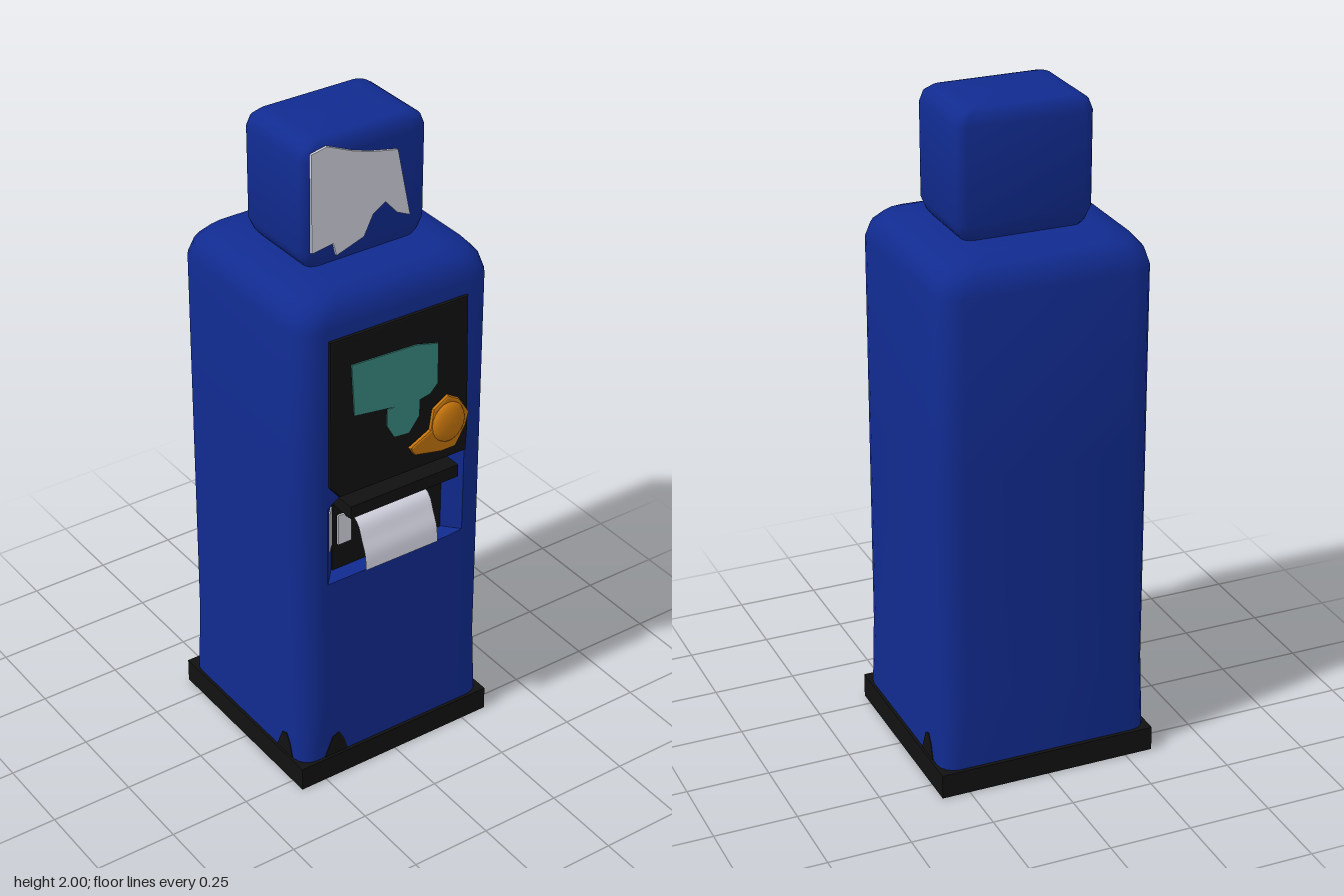
import * as THREE from 'three';
import { toCreasedNormals } from 'three/addons/utils/BufferGeometryUtils.js';

const mat = (name, color, double) => {
  const m = new THREE.MeshStandardMaterial({ color });
  m.name = name;
  if (double) m.side = THREE.DoubleSide;
  return m;
};

// Rounded rectangular footprint; notch presses a tray shape into the front edge
function footprint({ y, hx, z0, z1, r, notch = 0 }) {
  const pts = [[-0.19, z1 - notch], [0.19, z1 - notch], [0.235, z1]];
  if (hx - r < 0.24) pts.forEach((p, i) => { p[0] = (hx - r) * [-0.6, 0.6, 0.9][i]; });
  const first = [-pts[2][0], z1];
  const corners = [[hx - r, z1 - r], [hx - r, z0 + r], [-hx + r, z0 + r], [-hx + r, z1 - r]];
  corners.forEach(([cx, cz], k) => {
    for (let i = 0; i <= 4; i++) {
      const a = (k + i / 4) * Math.PI / 2;
      pts.push([cx + r * Math.sin(a), cz + r * Math.cos(a)]);
    }
  });
  pts.push(first);
  return pts.map(([x, z]) => [x, y, z]);
}

// Skin stacked footprints, closed at both ends
function loft(sections) {
  const rings = sections.map(footprint), n = rings[0].length, pos = [];
  const tri = (...v) => v.forEach((p) => pos.push(...p));
  for (let k = 0; k < rings.length - 1; k++) {
    for (let i = 0; i < n; i++) {
      const j = (i + 1) % n, a = rings[k], b = rings[k + 1];
      tri(a[i], a[j], b[j]);
      tri(a[i], b[j], b[i]);
    }
  }
  const low = rings[0], top = rings[rings.length - 1];
  const mid = (s) => [0, s.y, (s.z0 + s.z1) / 2];
  for (let i = 0; i < n; i++) {
    const j = (i + 1) % n;
    tri(low[j], low[i], mid(sections[0]));
    tri(top[i], top[j], mid(sections[sections.length - 1]));
  }
  const g = new THREE.BufferGeometry();
  g.setAttribute('position', new THREE.Float32BufferAttribute(pos, 3));
  return toCreasedNormals(g, 0.7);
}

// Plate cut from an outline, thickness along +z
function plate(points, depth, bevel = 0) {
  const shape = new THREE.Shape(points.map(([x, y]) => new THREE.Vector2(x, y)));
  return new THREE.ExtrudeGeometry(shape, {
    depth, bevelEnabled: bevel > 0, bevelSize: bevel, bevelOffset: -bevel, bevelThickness: bevel, bevelSegments: 2,
  });
}

export function createModel() {
  const group = new THREE.Group();
  const blue = mat('blue paint', 0x112b90);
  const black = mat('black plastic', 0x111111);
  const teal = mat('teal screen', 0x3a8a80);
  const orange = mat('orange', 0xc4740c);
  const white = mat('white paper', 0xd4d4e2, true);
  const add = (name, geometry, material, x = 0, y = 0, z = 0) => {
    const m = new THREE.Mesh(geometry, material);
    m.name = name;
    m.position.set(x, y, z);
    group.add(m);
    return m;
  };
  const box = (w, h, d) => new THREE.BoxGeometry(w, h, d);

  // Plinth
  add('base', box(0.67, 0.075, 0.63), black, 0, 0.0375, -0.015);

  // Cabinet with the paper tray pressed into its front
  const wall = { hx: 0.326, z0: -0.318, z1: 0.29, r: 0.075 };
  add('cabinet', loft([
    { ...wall, y: 0.06, r: 0.05 },
    { ...wall, y: 0.3 },
    { ...wall, y: 0.7 },
    { ...wall, y: 0.705, notch: 0.05 },
    { ...wall, y: 0.96, notch: 0.05 },
    { ...wall, y: 0.99 },
    { ...wall, y: 1.53 },
    { y: 1.575, hx: 0.316, z0: -0.307, z1: 0.28, r: 0.085 },
    { y: 1.603, hx: 0.293, z0: -0.283, z1: 0.256, r: 0.09 },
    { y: 1.62, hx: 0.245, z0: -0.235, z1: 0.21, r: 0.09 },
    { y: 1.625, hx: 0.19, z0: -0.15, z1: 0.12, r: 0.04 },
  ]), blue);

  // Head block
  add('head', loft([
    { y: 1.615, hx: 0.17, z0: -0.14, z1: 0.115, r: 0.03 },
    { y: 1.64, hx: 0.19, z0: -0.152, z1: 0.126, r: 0.03 },
    { y: 1.675, hx: 0.204, z0: -0.158, z1: 0.131, r: 0.03 },
    { y: 1.95, hx: 0.205, z0: -0.158, z1: 0.131, r: 0.03 },
    { y: 1.98, hx: 0.195, z0: -0.152, z1: 0.126, r: 0.03 },
    { y: 1.995, hx: 0.175, z0: -0.138, z1: 0.112, r: 0.03 },
    { y: 2, hx: 0.15, z0: -0.12, z1: 0.095, r: 0.03 },
  ]), blue);
  add('headSign', plate([
    [-0.18, 1.975], [-0.13, 1.985], [-0.05, 1.95], [0.01, 1.93], [0.1, 1.91], [0.143, 1.7], [0.1, 1.72],
    [0.06, 1.765], [0.02, 1.74], [-0.01, 1.68], [-0.1, 1.65], [-0.11, 1.69], [-0.18, 1.68],
  ], 0.008), white, 0, 0, 0.13);

  // Control panel, screen and hand dial
  add('controlPanel', plate([
    [-0.232, 1.5], [0.228, 1.495], [0.238, 1.05], [0.235, 0.985], [-0.2, 0.99], [-0.232, 1.03],
  ], 0.008, 0.006), black, 0, 0, 0.286);
  add('screen', plate([
    [-0.165, 1.41], [0.05, 1.4], [0.125, 1.38], [0.125, 1.25], [0.1, 1.225], [0.05, 1.215], [-0.155, 1.245],
  ], 0.006), teal, 0, 0, 0.298);
  add('lowerScreen', plate([
    [-0.045, 1.225], [0.066, 1.222], [0.065, 1.165], [0.03, 1.12], [-0.02, 1.125], [-0.045, 1.17],
  ], 0.006), teal, 0, 0, 0.297);
  add('dialPlate', plate([
    [0.03, 1.07], [0.1, 1.105], [0.11, 1.17], [0.16, 1.2], [0.2, 1.175], [0.235, 1.12], [0.225, 1.08],
    [0.19, 1.02], [0.14, 1.02], [0.05, 1.04],
  ], 0.006, 0.007), orange, 0, 0, 0.297);
  const dial = add('dialKnob', new THREE.SphereGeometry(0.055, 16, 10), orange, 0.16, 1.115, 0.311);
  dial.scale.set(1, 1.15, 0.4);

  // Paper tray
  add('trayBack', box(0.38, 0.255, 0.006), black, 0, 0.833, 0.242);
  add('printerBar', box(0.37, 0.04, 0.085), black, 0, 0.95, 0.287);
  add('paperSlot', box(0.3, 0.05, 0.03), black, 0, 0.91, 0.255);

  // Curling paper sheet
  const curl = new THREE.CatmullRomCurve3([
    [0.25, 0.885], [0.285, 0.865], [0.305, 0.82], [0.322, 0.78], [0.328, 0.73],
  ].map(([z, y]) => new THREE.Vector3(0, y, z)));
  const sheet = new THREE.PlaneGeometry(0.25, 1, 1, 10);
  const p = sheet.attributes.position;
  for (let i = 0; i < p.count; i++) {
    const c = curl.getPoint(0.5 - p.getY(i));
    p.setXYZ(i, p.getX(i), c.y, c.z);
  }
  sheet.computeVertexNormals();
  add('paper', sheet, white, -0.005);
  add('trayLabel', box(0.045, 0.1, 0.006), white, -0.15, 0.84, 0.248);
  const strip = add('sideLabel', box(0.038, 0.13, 0.005), white, -0.208, 0.865, 0.262);
  strip.rotation.y = Math.atan2(0.05, 0.045);

  // Dark scuffs above the plinth
  const scuff = plate([[-0.045, 0.07], [0.04, 0.07], [0.025, 0.12], [0.008, 0.15], [-0.015, 0.14]], 0.004);
  add('frontScuff', scuff, black, -0.205, 0, 0.288);
  for (const s of [1, -1]) {
    add('sideScuff', scuff, black, s * 0.324, 0, s * -0.2).rotation.y = s * Math.PI / 2;
  }
  return group;
}
